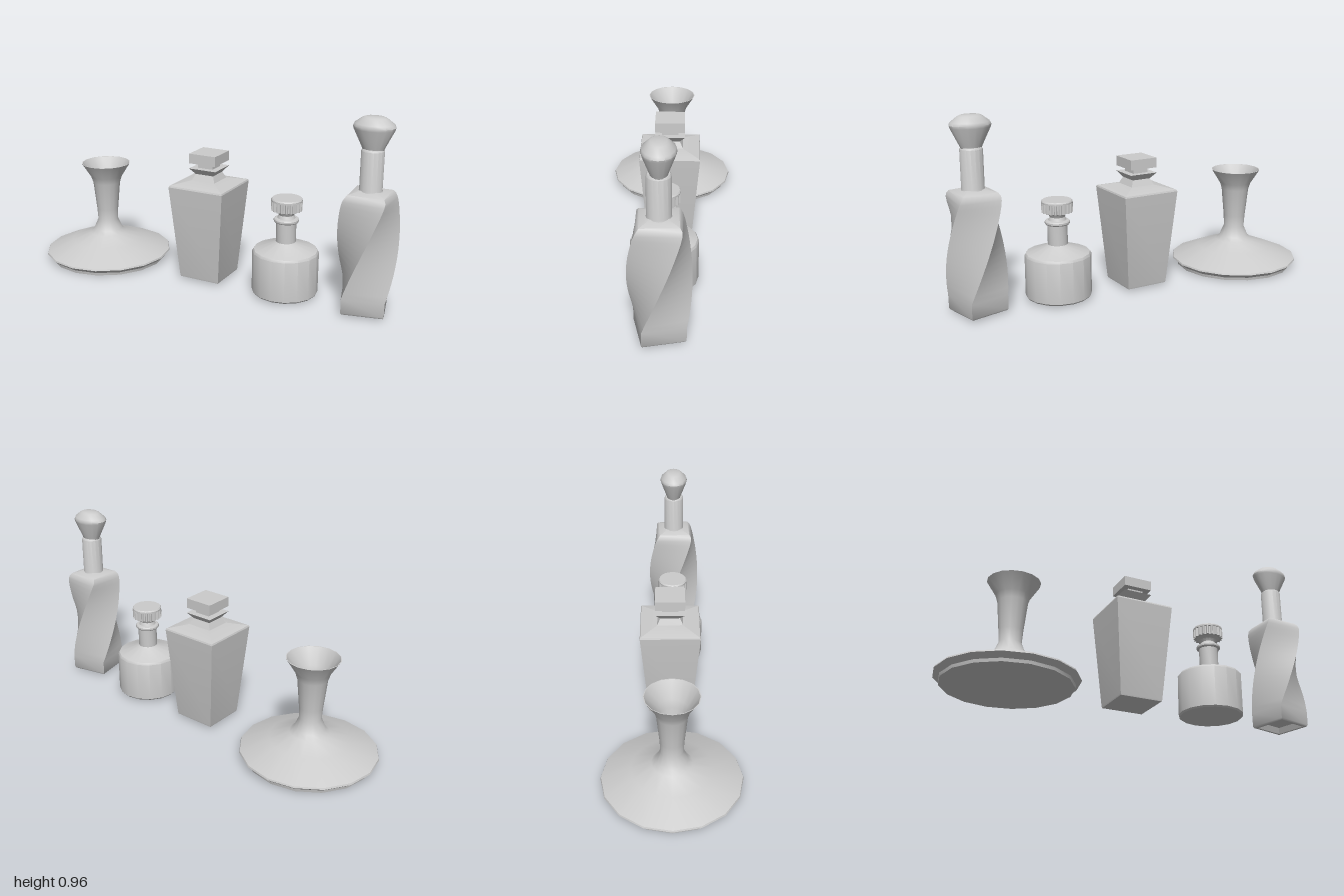
import * as THREE from 'three';
import { toCreasedNormals } from 'three/addons/utils/BufferGeometryUtils.js';

const material = new THREE.MeshStandardMaterial({ color: 0xcccccc });

function addMesh(group, name, geometry, crease = 0.65) {
  const mesh = new THREE.Mesh(toCreasedNormals(geometry, crease), material);
  mesh.name = name;
  group.add(mesh);
  return mesh;
}

// Turned form from [radius, height] pairs, listed from the bottom up
function turned(profile, sides = 16) {
  return new THREE.LatheGeometry(profile.map(([r, y]) => new THREE.Vector2(r, y)), sides);
}

// Square form from [half width, height] pairs
function square(profile) {
  return turned(profile.map(([h, y]) => [h * Math.SQRT2, y]), 4).rotateY(Math.PI / 4);
}

function bottle(parent, name, x, z) {
  const group = new THREE.Group();
  group.name = name;
  group.position.set(x, 0, z);
  parent.add(group);
  return group;
}

// Wide, low decanter with an open flared neck
function buildDecanter(parent) {
  const g = bottle(parent, 'wideDecanter', -0.655, 0);
  addMesh(g, 'decanterBody', turned([
    [0, 0], [0.315, 0], [0.318, 0.015], [0.345, 0.037], [0.342, 0.045], [0.2, 0.105],
    [0.1, 0.142], [0.078, 0.163], [0.055, 0.217], [0.059, 0.28], [0.074, 0.43],
    [0.085, 0.465], [0.132, 0.54],
    [0.128, 0.54], [0.078, 0.46], [0.066, 0.42], [0.046, 0.22], [0, 0.22],
  ]), 0.6);
}

// Tapered square bottle with a flat square stopper
function buildSquareBottle(parent) {
  const g = bottle(parent, 'squareBottle', -0.013, -0.005);
  addMesh(g, 'squareBody', square([
    [0, 0.012], [0.11, 0.012], [0.112, 0.02], [0.153, 0.508], [0.15, 0.516], [0.065, 0.536], [0, 0.536],
  ]), 0.3);
  addMesh(g, 'squareCollar', square([
    [0, 0.535], [0.066, 0.535], [0.05, 0.568], [0.076, 0.6], [0, 0.6],
  ]), 0.3);
  addMesh(g, 'stopperNeck', square([[0.042, 0.598], [0.042, 0.63]]), 0.3);
  addMesh(g, 'squareStopper', square([
    [0, 0.627], [0.075, 0.627], [0.075, 0.678], [0, 0.678],
  ]), 0.3);
}

// Short round bottle with a ribbed cap
function buildRoundBottle(parent) {
  const g = bottle(parent, 'roundBottle', 0.432, 0.012);
  addMesh(g, 'roundBody', turned([
    [0, 0.01], [0.16, 0.01], [0.167, 0.018], [0.167, 0.226], [0.16, 0.237],
    [0.056, 0.275], [0.05, 0.28], [0.05, 0.384], [0, 0.384],
  ]));
  addMesh(g, 'neckRing', turned([
    [0, 0.383], [0.059, 0.383], [0.063, 0.388], [0.063, 0.397], [0.059, 0.402], [0.045, 0.404],
    [0.038, 0.42], [0.045, 0.436], [0.064, 0.448], [0, 0.448],
  ]));

  // Each rib takes four outline points: two outer, two in the groove
  const ribs = 20, outline = [];
  for (let i = 0; i < ribs * 4; i++) {
    const r = i % 4 < 2 ? 0.078 : 0.069;
    const a = ((i + 0.5) / (ribs * 4)) * Math.PI * 2;
    outline.push(new THREE.Vector2(r * Math.cos(a), r * Math.sin(a)));
  }
  const ribbed = new THREE.ExtrudeGeometry(new THREE.Shape(outline), { depth: 0.05, bevelEnabled: false });
  ribbed.rotateX(-Math.PI / 2).translate(0, 0.445, 0);
  addMesh(g, 'ribbedCap', ribbed, 0.4);
  addMesh(g, 'capTop', turned([[0, 0.492], [0.078, 0.492], [0.078, 0.5], [0.073, 0.506], [0, 0.506]], 20));
}

// Tall bottle whose square body twists as it rises
function buildTwistedBottle(parent) {
  const g = bottle(parent, 'twistedBottle', 0.855, 0.022);
  const profile = [[0, 0.04], [0.105, 0.04], [0.118, 0.01], [0.136, 0.01], [0.144, 0.018]];
  const rows = 14;
  for (let i = 0; i <= rows; i++) profile.push([0.145, 0.09 + (0.45 * i) / rows]);
  profile.push([0.143, 0.565], [0.137, 0.585], [0.122, 0.6], [0.05, 0.616], [0, 0.616]);
  const body = turned(profile, 4);
  const pos = body.attributes.position, v = new THREE.Vector3(), up = new THREE.Vector3(0, 1, 0);
  for (let i = 0; i < pos.count; i++) {
    v.fromBufferAttribute(pos, i);
    const t = THREE.MathUtils.clamp((v.y - 0.09) / 0.5, 0, 1);
    v.applyAxisAngle(up, THREE.MathUtils.degToRad(-32 + 80 * t));
    pos.setXYZ(i, v.x, v.y, v.z);
  }
  addMesh(g, 'twistedBody', body, 0.7);

  addMesh(g, 'tallNeck', turned([
    [0.058, 0.605], [0.054, 0.616], [0.054, 0.802], [0.048, 0.81], [0, 0.81],
  ]));

  // Oval stopper, flattened front to back
  const stopper = addMesh(g, 'ovalStopper', turned([
    [0, 0.805], [0.05, 0.805], [0.055, 0.818], [0.097, 0.903], [0.1, 0.915], [0.094, 0.928],
    [0.058, 0.955], [0.045, 0.96], [0, 0.961],
  ]).scale(1, 1, 0.76));
  stopper.position.z = -0.001;
}

export function createModel() {
  const model = new THREE.Group();
  model.name = 'bottleSet';
  buildDecanter(model);
  buildSquareBottle(model);
  buildRoundBottle(model);
  buildTwistedBottle(model);
  return model;
}
